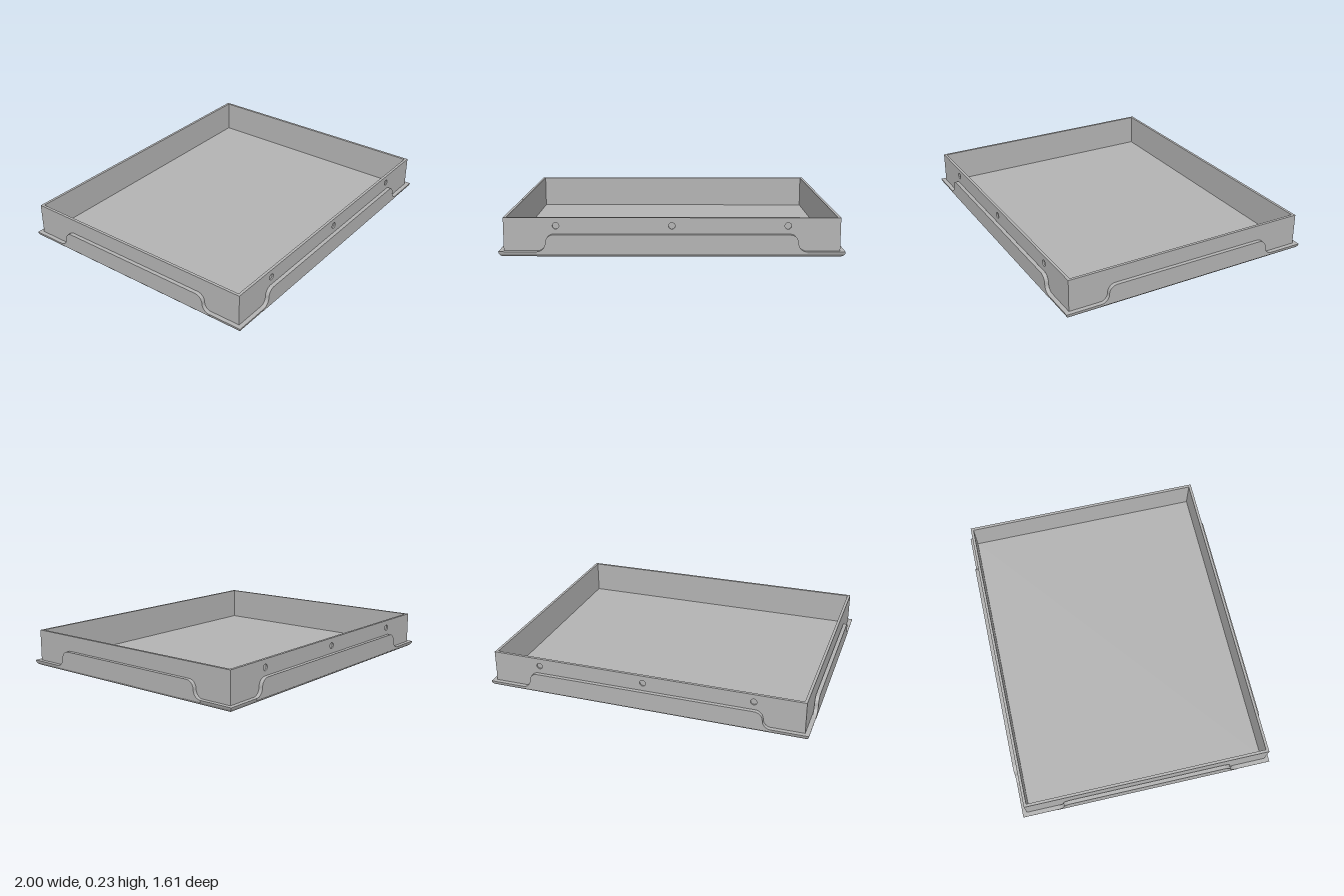
import * as THREE from 'three';
import { toCreasedNormals } from 'three/addons/utils/BufferGeometryUtils.js';

const X = 1, Z = 0.805;            // half size of the folded base
const INSET = 0.027;               // base edge to outer wall face
const SKIN = 0.0085;               // each of the two wall layers
const TOP = 0.23, RIM = 0.035, BEND = 0.04, FLOOR = 0.025;

// Sweep a (z, y) profile along x with mitred ends
function mitredStrip(profile, halfLength, dist) {
  const pos = [], idx = [];
  profile.forEach(([z, y], i) => {
    const x = halfLength - (dist - z);
    pos.push(-x, y, z, x, y, z);
    if (i) {
      const a = 2 * i - 2;
      idx.push(a, a + 1, a + 3, a, a + 3, a + 2);
    }
  });
  const g = new THREE.BufferGeometry();
  g.setAttribute('position', new THREE.Float32BufferAttribute(pos, 3));
  g.setIndex(idx);
  return toCreasedNormals(g, 0.6);
}

// Raised flange outline with S-curved ends
function tabShape(foot) {
  const r = 0.05, s = new THREE.Shape();
  s.moveTo(-foot, RIM - 0.012);
  s.lineTo(-foot, RIM);
  s.absarc(-foot, RIM + r, r, -Math.PI / 2, 0, false);
  s.absarc(-foot + 2 * r, RIM + r, r, Math.PI, Math.PI / 2, true);
  s.absarc(foot - 2 * r, RIM + r, r, Math.PI / 2, 0, true);
  s.absarc(foot, RIM + r, r, Math.PI, Math.PI * 1.5, false);
  s.lineTo(foot, RIM - 0.012);
  return s;
}

export function createModel() {
  const model = new THREE.Group();
  model.name = 'tray';
  const metal = new THREE.MeshStandardMaterial({ color: 0xb3b3b3 });
  metal.name = 'grey metal';

  const add = (parent, name, geometry, x = 0, y = 0, z = 0) => {
    const mesh = new THREE.Mesh(geometry, metal);
    mesh.name = name;
    mesh.position.set(x, y, z);
    parent.add(mesh);
  };

  // Floor plate
  add(model, 'floor', new THREE.BoxGeometry(2 * (X - BEND), FLOOR, 2 * (Z - BEND)), 0, FLOOR / 2, 0);

  ['front', 'left', 'back', 'right'].forEach((name, i) => {
    const long = i % 2 === 0;
    const half = long ? X : Z, dist = long ? Z : X;
    const side = new THREE.Group();
    side.name = name + 'Side';
    side.rotation.y = i * Math.PI / 2;
    model.add(side);

    // Rounded bottom bend and its flat rim
    const profile = [];
    for (let k = 0; k <= 10; k++) {
      const t = k / 10 * Math.PI / 2;
      profile.push([dist - BEND + BEND * Math.sin(t), RIM * (1 - Math.cos(t))]);
    }
    profile.push([dist - INSET - 0.005, RIM]);
    add(side, 'bottomBend', mitredStrip(profile, half, dist));

    // Flange standing up against the wall
    const tab = new THREE.ExtrudeGeometry(tabShape(long ? 0.78 : 0.59),
      { depth: INSET - 0.003, bevelEnabled: false, curveSegments: 12 });
    add(side, 'flange', toCreasedNormals(tab, 0.6), 0, 0, dist - INSET + 0.003);

    // Outer wall layer, with three holes on the long sides
    const w = half - INSET - (long ? 0 : SKIN), low = 0.02;
    const panel = new THREE.Shape();
    panel.moveTo(-w, low);
    panel.lineTo(w, low);
    panel.lineTo(w, TOP);
    panel.lineTo(-w, TOP);
    if (long) for (const x of [-0.67, 0, 0.67]) {
      panel.holes.push(new THREE.Path().absarc(x, 0.182, 0.019, 0, Math.PI * 2, true));
    }
    const wall = new THREE.ExtrudeGeometry(panel, { depth: SKIN, bevelEnabled: false, curveSegments: 20 });
    add(side, 'outerWall', toCreasedNormals(wall, 0.6), 0, 0, dist - INSET - SKIN);

    // Inner wall layer
    const inner = half - INSET - SKIN - (long ? 0 : SKIN);
    add(side, 'innerWall', new THREE.BoxGeometry(2 * inner, TOP - low, SKIN),
      0, (TOP + low) / 2, dist - INSET - 1.5 * SKIN);
  });
  return model;
}
